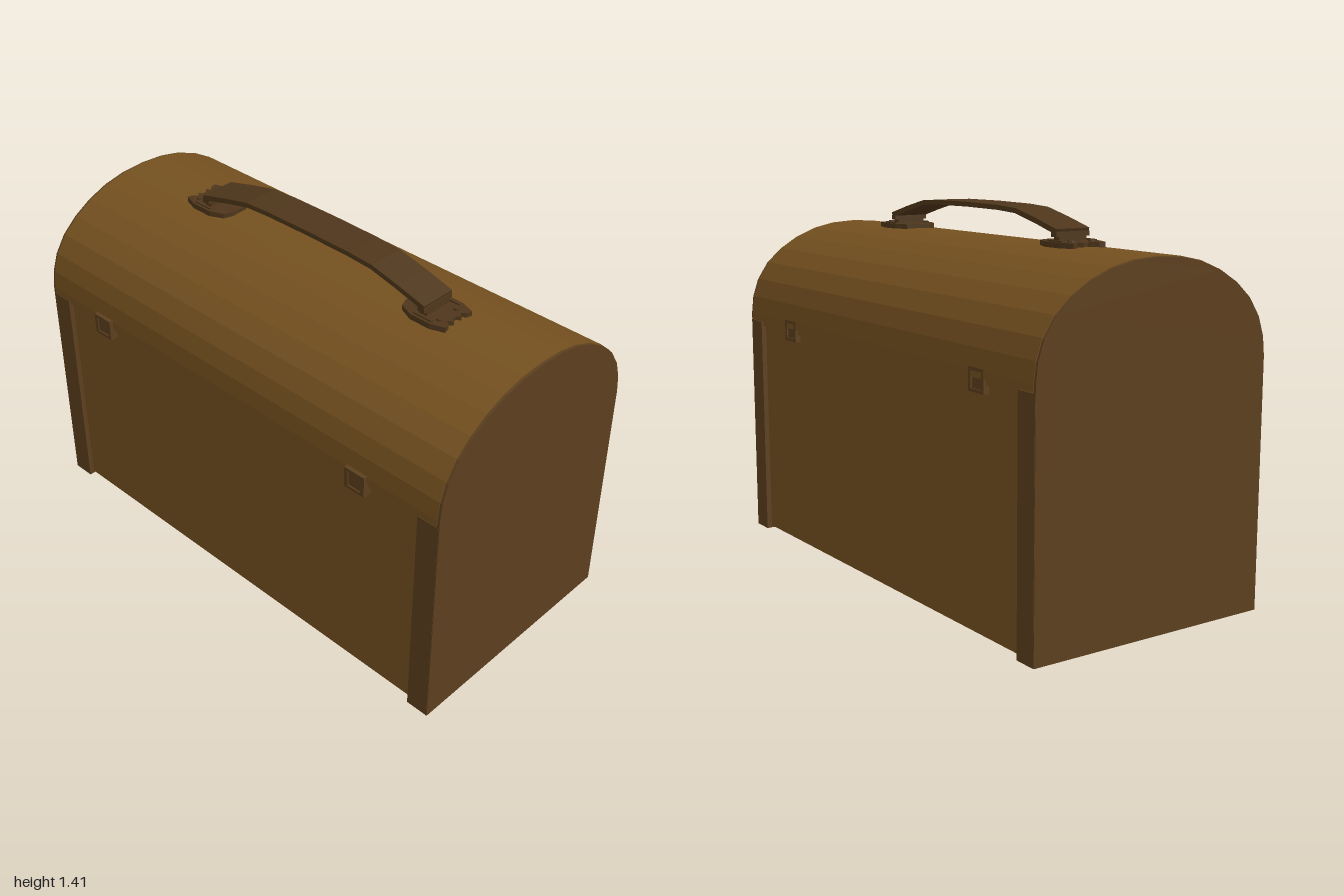
import * as THREE from 'three';

const mat = (color) => new THREE.MeshStandardMaterial({ color, flatShading: true });
const CX = 0.005; // body centre line
const HX = -0.0075; // handle centre line

// Half of the arched lid, from the spring line to the crown
const ARCH = [[0.49, 0.92], [0.482, 0.99], [0.458, 1.06], [0.413, 1.127], [0.35, 1.183],
  [0.275, 1.228], [0.19, 1.262], [0.1, 1.281], [0, 1.287]];

// Arched outline standing on y = bottom
function archShape(bottom, inset = 0) {
  const right = [[0.49, bottom], ...ARCH].map(([x, y]) => [x * (1 - inset), y - (y > bottom ? inset : 0)]);
  const left = right.slice(0, -1).reverse().map(([x, y]) => [-x, y]);
  return new THREE.Shape([...right, ...left].map(([x, y]) => new THREE.Vector2(x, y)));
}

function extrude(shape, depth) {
  return new THREE.ExtrudeGeometry(shape, { depth, bevelEnabled: false });
}

export function createModel() {
  const model = new THREE.Group();
  model.name = 'lunchBox';
  const panelMat = mat(0x74501f);
  const endMat = mat(0x5c3f1e);
  const handleMat = mat(0x4e361b);

  const add = (name, geometry, material, x = 0, y = 0, z = 0, parent = model) => {
    const mesh = new THREE.Mesh(geometry, material);
    mesh.name = name;
    mesh.position.set(x, y, z);
    parent.add(mesh);
    return mesh;
  };
  const box = (name, material, w, h, d, x, y, z, parent) =>
    add(name, new THREE.BoxGeometry(w, h, d), material, x, y, z, parent);

  // Recessed lower body, rim under the lid, and the arched lid
  box('body', panelMat, 0.94, 0.86, 1.84, CX, 0.44, 0);
  box('rim', panelMat, 0.962, 0.02, 1.84, CX, 0.882, 0);
  add('lid', extrude(archShape(0.892), 1.98), panelMat, CX, 0, -0.99);

  // End walls: a thick lower block and a thin arched plate
  for (const s of [1, -1]) {
    box('endWall', endMat, 0.98, 0.89, 0.09, CX, 0.445, s * 0.953);
    add('endPlate', extrude(archShape(0, 0.003), 0.015), endMat, CX, 0, s > 0 ? 0.985 : -1);
  }

  // Clasps on both long sides: backing plate, raised frame and lip
  for (const s of [1, -1]) {
    for (const z of [0.643, -0.677]) {
      const clasp = new THREE.Group();
      clasp.name = 'clasp';
      clasp.position.set(s > 0 ? 0.47 : -0.474, 0.884, z);
      clasp.scale.x = s;
      model.add(clasp);
      box('claspPlate', endMat, 0.04, 0.083, 0.09, 0.001, 0, 0, clasp);
      for (const t of [1, -1]) {
        box('claspSide', endMat, 0.007, 0.083, 0.016, 0.0225, 0, t * 0.037, clasp);
        box('claspLip', endMat, 0.007, 0.012, 0.09, 0.0225, t * 0.0355, 0, clasp);
      }
    }
  }

  const handle = new THREE.Group();
  handle.name = 'handle';
  handle.position.set(HX, 0, 0.013);
  model.add(handle);

  // Carrying strap, bent in profile and folded down at both ends
  const top = [[0.55, 1.345], [0.43, 1.377], [0.31, 1.405], [0.2, 1.411], [0, 1.413]];
  const upper = [...top, ...top.slice(0, -1).reverse().map(([z, y]) => [-z, y])];
  const lower = upper.map(([z, y]) => [z * 0.985, y - 0.018]).reverse();
  const strapShape = new THREE.Shape([...upper, ...lower].map(([z, y]) => new THREE.Vector2(z, y)));
  const strap = extrude(strapShape, 0.145);
  strap.rotateY(-Math.PI / 2); // profile runs along z
  strap.translate(0.0725, 0, 0);
  add('strap', strap, handleMat, 0, 0, 0, handle);

  // Scalloped mounting plates with side ears and the loop holding the strap
  const half = [[0.03, -0.105], [0.065, -0.09], [0.088, -0.035], [0.088, 0.05], [0.07, 0.105],
    [0.048, 0.1], [0.035, 0.082], [0.02, 0.1], [0.008, 0.085]];
  const outline = [...half, ...half.slice().reverse().map(([x, z]) => [-x, z])];
  for (const s of [1, -1]) {
    const mount = new THREE.Group();
    mount.name = 'handleMount';
    mount.position.z = s * 0.537;
    if (s < 0) mount.rotation.y = Math.PI;
    handle.add(mount);
    const plate = extrude(new THREE.Shape(outline.map(([x, z]) => new THREE.Vector2(x, -z))), 0.022);
    plate.rotateX(-Math.PI / 2);
    add('mountPlate', plate, handleMat, 0, 1.28, 0, mount);
    box('strapEnd', handleMat, 0.145, 0.018, 0.03, 0, 1.326, -0.002, mount);
    box('strapPost', handleMat, 0.12, 0.045, 0.03, 0, 1.31, -0.002, mount);
    for (const t of [1, -1]) {
      box('plateEar', handleMat, 0.012, 0.014, 0.08, t * 0.072, 1.3, 0.01, mount);
      const rivet = add('rivet', new THREE.CylinderGeometry(0.012, 0.014, 0.01, 8), handleMat, t * 0.045, 1.304, 0.06, mount);
      rivet.rotation.y = Math.PI / 8;
    }
  }
  return model;
}
